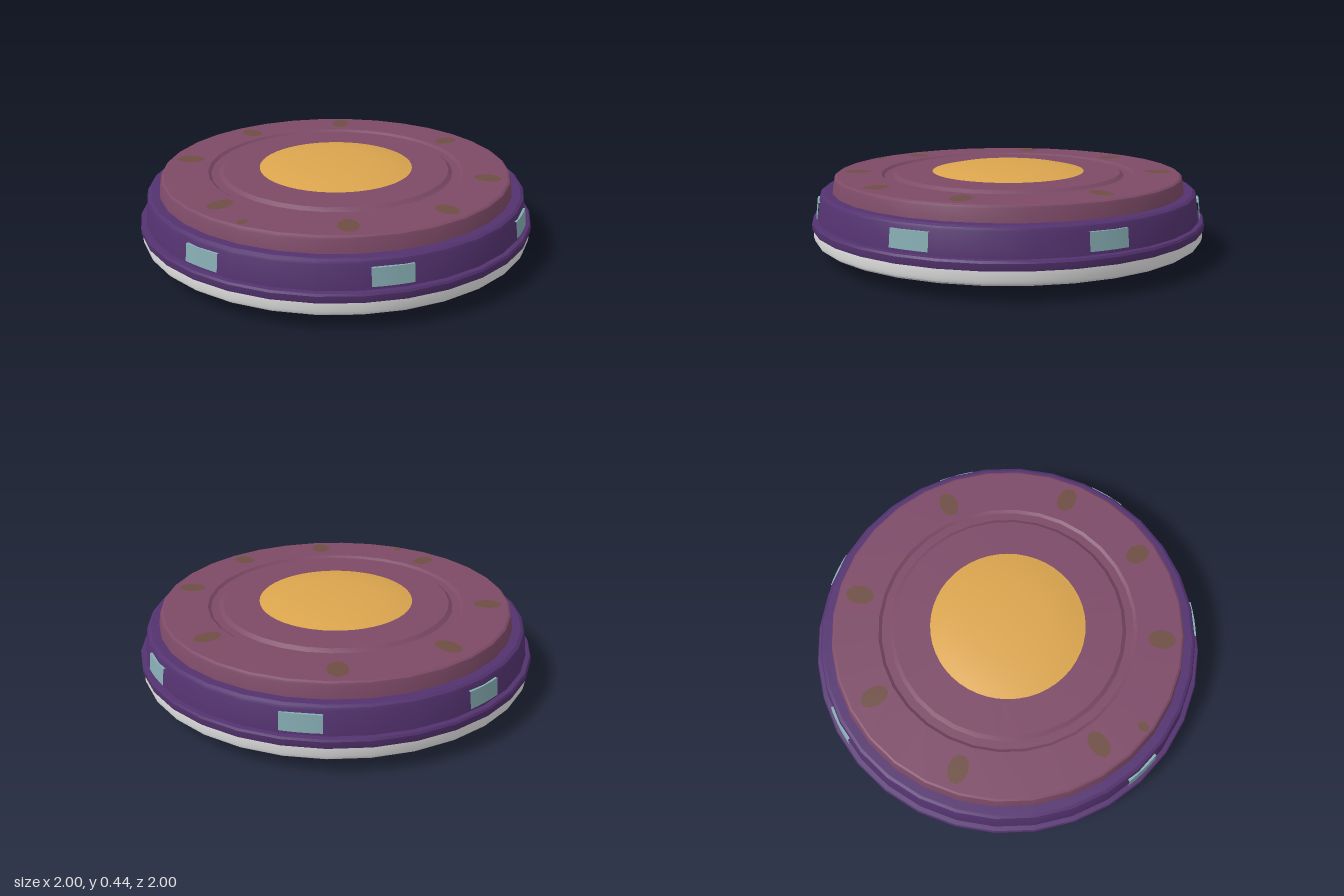
import * as THREE from 'three';
import { toCreasedNormals } from 'three/addons/utils/BufferGeometryUtils.js';

const paint = (name, color) => {
  const m = new THREE.MeshStandardMaterial({ color });
  m.name = name;
  return m;
};

export function createModel() {
  const purple = paint('purple', 0x53326f);
  const mauve = paint('mauve', 0x7d4a67);
  const gold = paint('gold', 0xdba54e);
  const teal = paint('teal', 0x86adb3);
  const white = paint('white', 0xe8e8e8);
  const olive = paint('olive brown', 0x6e4e44);

  const model = new THREE.Group();
  model.name = 'saucer';

  // Turned part; profile runs [radius, height] from the underside outward and up
  const turn = (name, profile, material, sides = 32, start = 0, sweep = Math.PI * 2) => {
    const points = profile.map(([r, y]) => new THREE.Vector2(r, y));
    const geometry = toCreasedNormals(new THREE.LatheGeometry(points, sides, start, sweep), 0.45);
    const mesh = new THREE.Mesh(geometry, material);
    mesh.name = name;
    model.add(mesh);
    return mesh;
  };

  // Underside: dome, dished plate with a shallow groove, and rim ring
  turn('lowerDome', [[0, 0.005], [0.1, 0.006], [0.2, 0.011], [0.3, 0.02], [0.36, 0.03], [0.4, 0.04]], gold, 48);
  turn('bottomPlate', [[0.39, 0.033], [0.575, 0.033], [0.605, 0.042], [0.64, 0.033],
    [0.75, 0.034], [0.81, 0.05], [0.88, 0.077]], mauve);
  turn('bottomRing', [[0.87, 0.076], [0.955, 0.076]], teal);

  // White bumper with a rounded lower edge
  turn('bumper', [[0.95, 0.075], [0.972, 0.079], [0.986, 0.09], [0.993, 0.108], [0.993, 0.152]], white);

  // Purple hull with a flange at its foot
  turn('hull', [[0.97, 0.148], [0.998, 0.148], [1.0, 0.155], [1.0, 0.18], [0.994, 0.19], [0.972, 0.192],
    [0.958, 0.305], [0.952, 0.317], [0.938, 0.325], [0.88, 0.325]], purple);

  // Upper deck with a shallow groove around a slightly raised middle
  turn('upperDeck', [[0.897, 0.32], [0.886, 0.385], [0.882, 0.394], [0.872, 0.4], [0.65, 0.4],
    [0.635, 0.389], [0.595, 0.389], [0.575, 0.404], [0.38, 0.404]], mauve);
  turn('upperDome', [[0.4, 0.402], [0.36, 0.41], [0.3, 0.423], [0.2, 0.433], [0.1, 0.438], [0, 0.44]], gold, 48);

  // Windows at sevenths of a turn from the back, with one place left plain
  for (const i of [0, 1, 2, 3, 4, 5]) {
    const middle = Math.PI - i * Math.PI * 2 / 7;
    turn('window', [[0.962, 0.208], [0.977, 0.208], [0.967, 0.291], [0.952, 0.291]],
      teal, 4, middle - 0.098, 0.196);
  }

  // Flat oval marks on the deck
  const spot = (x, z, length, width) => {
    const mesh = new THREE.Mesh(new THREE.CircleGeometry(0.5, 10).rotateX(-Math.PI / 2), olive);
    mesh.name = 'deckMark';
    mesh.scale.set(width, 1, length);
    mesh.position.set(x, 0.402, z);
    mesh.rotation.y = Math.atan2(x, z);
    model.add(mesh);
  };
  spot(0, -0.75, 0.145, 0.1);
  spot(0, 0.775, 0.13, 0.1);
  for (const side of [-1, 1]) {
    spot(side * 0.515, -0.57, 0.145, 0.1);
    spot(side * 0.745, 0.07, 0.14, 0.095);
    spot(side * 0.455, 0.625, 0.14, 0.1);
  }
  spot(-0.78, 0.3, 0.06, 0.045);

  return model;
}
